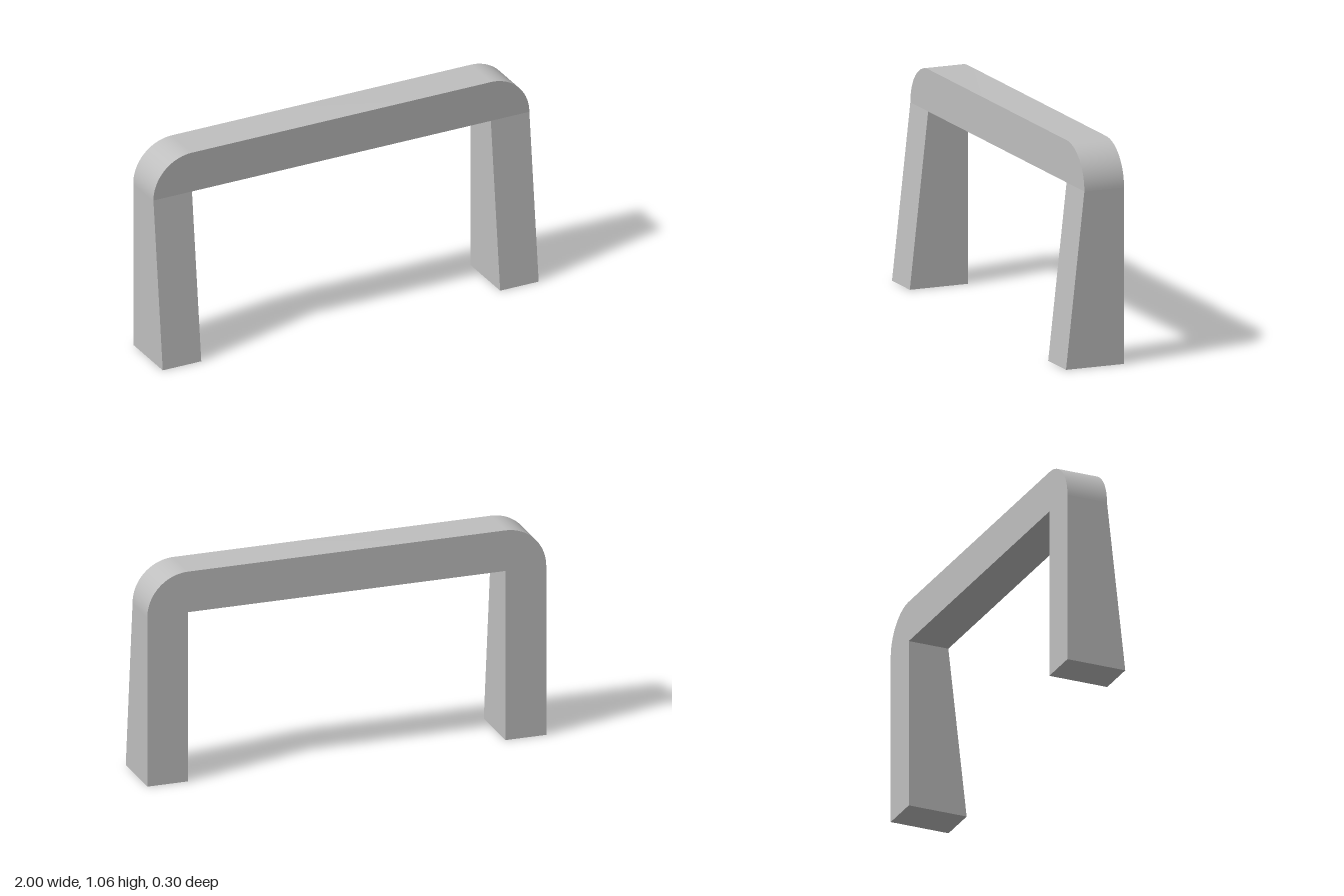
import * as THREE from 'three';
import { toCreasedNormals } from 'three/addons/utils/BufferGeometryUtils.js';

const OUTER = 1, INNER = 0.795, SHOULDER = 0.855, TOP = 1.06;
const BACK = -0.15, FRONT = 0.055, FOOT = 0.15;

export function createModel() {
  const group = new THREE.Group();
  group.name = 'archFrame';
  const grey = new THREE.MeshStandardMaterial({ color: 0xbfbfbf });
  grey.name = 'plainGrey';

  const add = (name, geometry) => {
    const mesh = new THREE.Mesh(geometry, grey);
    mesh.name = name;
    group.add(mesh);
  };

  // Crossbar with rounded upper corners
  const r = TOP - SHOULDER;
  const bar = new THREE.Shape();
  bar.moveTo(-OUTER, SHOULDER);
  bar.lineTo(OUTER, SHOULDER);
  bar.absarc(OUTER - r, SHOULDER, r, 0, Math.PI / 2, false);
  bar.absarc(-OUTER + r, SHOULDER, r, Math.PI / 2, Math.PI, false);
  const barGeometry = new THREE.ExtrudeGeometry(bar, {
    depth: FRONT - BACK, bevelEnabled: false, curveSegments: 16,
  });
  barGeometry.translate(0, 0, BACK);
  add('crossbar', toCreasedNormals(barGeometry, Math.PI / 6));

  // Legs: side profile tapering forward to a deeper foot
  const profile = new THREE.Shape([
    new THREE.Vector2(BACK, 0),
    new THREE.Vector2(FOOT, 0),
    new THREE.Vector2(FRONT, SHOULDER),
    new THREE.Vector2(BACK, SHOULDER),
  ]);
  const width = OUTER - INNER;
  for (const [name, side] of [['leftLeg', 1], ['rightLeg', -1]]) {
    const leg = new THREE.ExtrudeGeometry(profile, { depth: width, bevelEnabled: false });
    leg.translate(0, 0, -width / 2);
    leg.rotateY(-Math.PI / 2);
    leg.translate(side * (OUTER + INNER) / 2, 0, 0);
    add(name, leg);
  }
  return group;
}
